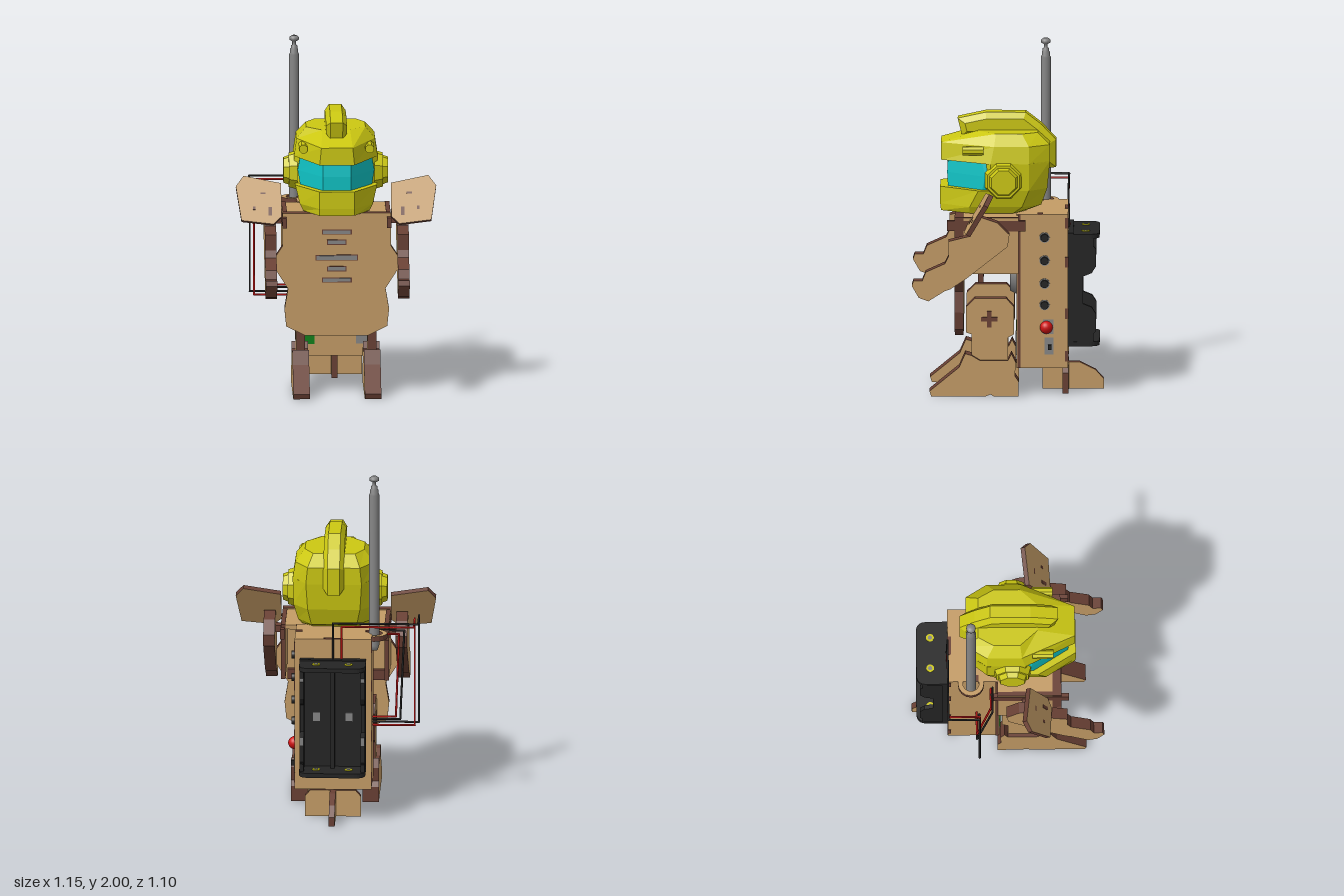
import * as THREE from 'three';

const mat = (name, color) => Object.assign(new THREE.MeshStandardMaterial({ color }), { name });
const wood = mat('wood', 0xc49c66), edge = mat('burntEdge', 0x694034), yellow = mat('helmetYellow', 0xccc812);
const cyan = mat('visorCyan', 0x10c6c8), black = mat('black', 0x242424), grey = mat('grey', 0x868686);
const red = mat('red', 0xd01212), green = mat('boardGreen', 0x0c8018);
for (const m of [yellow, cyan]) m.flatShading = true;

export function createModel() {
  const root = new THREE.Group();
  root.name = 'robot';

  const add = (name, geo, m, x = 0, y = 0, z = 0) => {
    const mesh = new THREE.Mesh(geo, m);
    mesh.name = name;
    mesh.position.set(x, y, z);
    root.add(mesh);
    return mesh;
  };
  // box given by its limits
  const box = (name, m, x0, x1, y0, y1, z0, z1) =>
    add(name, new THREE.BoxGeometry(x1 - x0, y1 - y0, z1 - z0), m, (x0 + x1) / 2, (y0 + y1) / 2, (z0 + z1) / 2);
  // cut sheet centred on its thickness; axis is the direction of the thickness
  const sheet = (pts, depth, axis = 'z', opts = {}) => {
    const shape = pts instanceof THREE.Shape ? pts : new THREE.Shape(pts.map(p => new THREE.Vector2(...p)));
    const g = new THREE.ExtrudeGeometry(shape, { depth, bevelEnabled: false, curveSegments: 8, ...opts });
    g.translate(0, 0, -depth / 2);
    if (axis === 'x') g.rotateY(-Math.PI / 2);
    if (axis === 'y') g.rotateX(Math.PI / 2);
    return g;
  };
  const cut = [wood, edge];
  const cyl = (axis, r0, r1, h, n = 20) => {
    const g = new THREE.CylinderGeometry(r1, r0, h, n);
    if (n === 8) g.rotateY(Math.PI / 8);
    if (axis === 'x') g.rotateZ(-Math.PI / 2);
    if (axis === 'z') g.rotateX(Math.PI / 2);
    return g;
  };
  // stack of eight-sided rings: [y, frontHalfWidth, frontZ, halfWidth, z1, z2, backHalfWidth, backZ]
  const loft = rings => {
    const pos = [], idx = [], n = 8, last = (rings.length - 1) * n;
    for (const [y, a, zf, w, z1, z2, b, zb] of rings)
      for (const [x, z] of [[a, zf], [w, z1], [w, z2], [b, zb], [-b, zb], [-w, z2], [-w, z1], [-a, zf]]) pos.push(x, y, z);
    for (let r = 0; r < last; r += n)
      for (let i = 0; i < n; i++) {
        const j = (i + 1) % n;
        idx.push(r + i, r + j, r + n + j, r + i, r + n + j, r + n + i);
      }
    for (let i = 1; i < n - 1; i++) idx.push(0, i + 1, i, last, last + i, last + i + 1);
    const g = new THREE.BufferGeometry();
    g.setAttribute('position', new THREE.Float32BufferAttribute(pos, 3));
    g.setIndex(idx);
    g.computeVertexNormals();
    return g;
  };

  // helmet
  add('helmetJaw', loft([
    [1.06, 0.1, 0.385, 0.19, 0.22, -0.03, 0.12, -0.09],
    [1.10, 0.1, 0.39, 0.21, 0.22, -0.08, 0.13, -0.19],
    [1.20, 0.1, 0.39, 0.235, 0.17, -0.12, 0.15, -0.225]]), yellow);
  add('helmetMiddle', loft([
    [1.20, 0.2, 0.13, 0.235, 0.1, -0.12, 0.15, -0.225],
    [1.36, 0.2, 0.13, 0.24, 0.1, -0.12, 0.16, -0.24]]), yellow);
  add('visor', loft([
    [1.19, 0.08, 0.345, 0.205, 0.15, 0.05, 0.1, 0],
    [1.28, 0.08, 0.35, 0.22, 0.13, 0.05, 0.1, 0],
    [1.365, 0.08, 0.345, 0.205, 0.15, 0.05, 0.1, 0]]), cyan);
  add('helmetTop', loft([
    [1.355, 0.1, 0.385, 0.24, 0.1, -0.12, 0.16, -0.24],
    [1.455, 0.09, 0.385, 0.225, 0.08, -0.12, 0.15, -0.24],
    [1.52, 0.08, 0.17, 0.17, 0.07, -0.08, 0.12, -0.17]]), yellow);
  add('crest', sheet([[0.265, 1.48], [0.29, 1.585], [0.13, 1.62], [-0.1, 1.62], [-0.19, 1.55], [-0.275, 1.46],
    [-0.275, 1.3], [-0.2, 1.29], [-0.12, 1.46]], 0.07, 'x',
    { bevelEnabled: true, bevelSegments: 1, bevelThickness: 0.025, bevelSize: 0.035, bevelOffset: -0.035 }), yellow);
  for (const s of [-1, 1]) {
    const flip = s < 0 ? Math.PI : 0;
    add('earBase', cyl('x', 0.115, 0.1, 0.05, 8), yellow, s * 0.245, 1.26, 0.025).rotation.y = flip;
    add('earCap', cyl('x', 0.09, 0.075, 0.04, 8), yellow, s * 0.28, 1.26, 0.025).rotation.y = flip;
    add('helmetLamp', cyl('z', 0.028, 0.026, 0.12, 8), yellow, s * 0.19, 1.425, 0.2);
  }

  // chest
  const half = [[0.31, 1.06], [0.31, 0.87], [0.35, 0.81], [0.35, 0.73], [0.28, 0.62], [0.3, 0.5], [0.29, 0.4], [0.18, 0.345]];
  add('chestPlate', sheet([...half, ...half.map(([x, y]) => [-x, y]).reverse()], 0.05), cut, 0, 0, 0.28);
  for (const [y, w, h] of [[0.95, 0.16, 0.02], [0.89, 0.1, 0.02], [0.8, 0.23, 0.024], [0.735, 0.1, 0.02], [0.67, 0.16, 0.02]]) {
    box('ventRim', edge, -w / 2 - 0.006, w / 2 + 0.006, y - h / 2 - 0.005, y + h / 2 + 0.005, 0.303, 0.307);
    box('vent', grey, -w / 2, w / 2, y - h / 2, y + h / 2, 0.303, 0.309);
  }
  box('topPlate', wood, -0.285, 0.285, 1.03, 1.055, -0.06, 0.26);
  box('hipBar', edge, -0.2, 0.2, 0.42, 0.48, 0.06, 0.15);
  box('crossBar', edge, -0.28, 0.28, 0.67, 0.73, 0.14, 0.17);

  for (const s of [-1, 1]) {
    add('chestSide', sheet([[0.255, 1.058], [-0.06, 1.058], [-0.06, 0.73], [0.255, 0.73]], 0.026, 'x'), cut, s * 0.297, 0, 0);
    box('shoulderStrap', edge, s * 0.3 - 0.012, s * 0.3 + 0.012, 0.98, 1.04, -0.1, 0.35);

    // shoulder wing, leaning back
    const wing = new THREE.Group();
    wing.name = 'shoulderWing';
    wing.position.set(s * 0.43, 1.108, 0.165);
    wing.rotation.x = -0.52;
    root.add(wing);
    const wingPts = [[0.53, 1.235], [0.315, 1.195], [0.315, 1.02], [0.36, 0.98], [0.545, 1], [0.575, 1.18]];
    wing.add(add('wingPlate', sheet(wingPts.map(([x, y]) => [s * (x - 0.43), (y - 1.108) / 0.868]), 0.028), cut));
    for (const [x, y, w, h] of [[-0.05, -0.07, 0.02, 0.05], [-0.01, 0.04, 0.03, 0.01], [0.04, -0.05, 0.015, 0.02]])
      wing.add(add('wingMark', new THREE.BoxGeometry(w, h, 0.004), edge, s * x, y, 0.014));

    // arm with elbow and fist
    box('shoulderPeg', edge, s * 0.33 - 0.03, s * 0.33 + 0.03, 0.97, 1.01, 0.08, 0.14);
    add('arm', sheet([[0.15, 1.08], [0.06, 1.05], [-0.01, 0.98], [0, 0.91], [0.24, 0.72], [0.33, 0.66], [0.36, 0.65], [0.455, 0.59],
      [0.51, 0.61], [0.55, 0.68], [0.54, 0.71], [0.49, 0.71], [0.47, 0.76], [0.36, 0.81], [0.34, 0.85], [0.34, 0.94], [0.22, 0.97]],
      0.066, 'x'), cut, s * 0.38, 0, 0);

    // leg and foot
    add('upperLeg', sheet([[0.19, 0.57], [0.01, 0.57], [-0.035, 0.52], [-0.035, 0.36], [0, 0.34], [0, 0.2], [0.21, 0.2],
      [0.21, 0.36], [0.24, 0.37], [0.24, 0.52]], 0.05, 'x'), cut, s * 0.205, 0, 0);
    box('legMark', edge, s * 0.231 - 0.002, s * 0.231 + 0.002, 0.435, 0.46, 0.06, 0.155);
    box('legMark', edge, s * 0.231 - 0.003, s * 0.231 + 0.003, 0.4, 0.495, 0.095, 0.12);
    add('foot', sheet([[0.44, 0], [0.45, 0.03], [0.28, 0.17], [0.245, 0.25], [0.21, 0.24], [0.16, 0.21], [0, 0.21], [-0.02, 0.25], [-0.045, 0.2],
      [-0.04, 0.12], [-0.06, 0.09], [-0.06, 0], [0.08, 0], [0.1, 0.012], [0.13, 0]], 0.095, 'x'), cut, s * 0.205, 0, 0);
  }

  // backpack
  box('backpack', wood, -0.22, 0.22, 0.16, 1.06, -0.345, -0.05);
  for (const s of [-1, 1]) {
    box('backpackSeam', edge, s * 0.221 - 0.002, s * 0.221 + 0.002, 0.16, 1.06, -0.072, -0.055);
    for (const y of [0.2, 0.45, 0.75, 0.98])
      box('backpackTab', edge, s * 0.221 - 0.002, s * 0.221 + 0.002, y, y + 0.06, -0.346, -0.328);
    box('topTab', edge, s * 0.2 - 0.02, s * 0.2 + 0.02, 1.058, 1.063, -0.2, -0.17);
  }
  box('topTab', edge, -0.055, 0.055, 1.058, 1.063, -0.346, -0.325);
  box('circuitBoard', green, -0.195, -0.12, 0.23, 0.36, -0.05, -0.042);
  box('frontPlug', grey, 0.12, 0.19, 0.23, 0.36, -0.05, -0.042);
  add('speaker', cyl('z', 0.13, 0.11, 0.04), grey, 0, 0.68, -0.03);
  for (const y of [0.925, 0.79, 0.655, 0.53]) {
    add('buttonRing', cyl('x', 0.03, 0.03, 0.008), grey, 0.222, y, -0.21);
    add('button', cyl('x', 0.025, 0.022, 0.025), black, 0.23, y, -0.21);
  }
  box('switchPlate', grey, 0.219, 0.226, 0.24, 0.34, -0.26, -0.21);
  box('switchLever', black, 0.22, 0.245, 0.27, 0.3, -0.25, -0.23);
  box('redButtonPlate', grey, 0.219, 0.225, 0.36, 0.445, -0.26, -0.2);
  add('redButton', new THREE.SphereGeometry(0.037, 20, 14), red, 0.225, 0.4, -0.22);

  // rear stand: two crossing plates
  add('rearStand', sheet([[-0.21, 0.155], [-0.195, 0.13], [-0.195, 0], [-0.55, 0], [-0.55, 0.055], [-0.5, 0.11], [-0.41, 0.155]], 0.034, 'x'), cut);
  add('standCross', sheet([[-0.16, 0], [-0.16, 0.12], [-0.13, 0.155], [0.13, 0.155], [0.16, 0.12], [0.16, 0]], 0.034), cut, 0, 0, -0.33);

  // antenna with its ring
  const ring = new THREE.Shape().absarc(0, 0, 0.075, 0, Math.PI * 2);
  ring.holes.push(new THREE.Path().absarc(0, 0, 0.047, 0, Math.PI * 2, true));
  add('antennaRing', sheet(ring, 0.03, 'y'), cut, -0.232, 1.045, -0.213);
  const profile = [[0, 0.96], [0.02, 0.96], [0.029, 0.99], [0.029, 1.89], [0.023, 1.9], [0.023, 1.92], [0.018, 1.925], [0.018, 1.94],
    [0.011, 1.945], [0.011, 1.965], [0.027, 1.975], [0.027, 1.99], [0.015, 2], [0, 2]];
  add('antenna', new THREE.LatheGeometry(profile.map(p => new THREE.Vector2(...p)), 20), grey, -0.232, 0, -0.213);

  // battery holder
  box('holderBase', black, -0.19, 0.19, 0.28, 0.945, -0.375, -0.345);
  const end = new THREE.Shape();
  end.moveTo(-0.19, -0.345).lineTo(0.19, -0.345).lineTo(0.19, -0.465);
  end.quadraticCurveTo(0.19, -0.525, 0.13, -0.525).lineTo(-0.13, -0.525).quadraticCurveTo(-0.19, -0.525, -0.19, -0.465);
  const sidePts = [[-0.35, 0.28], [-0.35, 0.945], [-0.36, 0.89], [-0.47, 0.89], [-0.505, 0.85], [-0.505, 0.75], [-0.48, 0.71], [-0.43, 0.69],
    [-0.43, 0.53], [-0.48, 0.51], [-0.505, 0.47], [-0.505, 0.37], [-0.47, 0.33], [-0.36, 0.33]];
  for (const y of [0.295, 0.925]) {
    add('holderEnd', sheet(end, 0.026, 'y'), black, 0, y, 0);
    const out = y > 0.6 ? 1 : -1;
    for (const x of [-0.093, 0.093])
      for (const side of [-1, 1]) {
        add('contact', cyl('y', 0.023, 0.023, 0.006), yellow, x, y + side * out * 0.014, -0.445);
        add('contactPin', cyl('y', 0.012, 0.012, 0.008), grey, x, y + side * out * 0.015, -0.445);
      }
  }
  for (const x of [-0.175, 0.175]) {
    add('holderSide', sheet(sidePts, 0.024, 'x'), black, x, 0, 0);
    for (const y of [0.38, 0.84]) box('holderBlock', black, x - 0.012, x + 0.012, y - 0.09, y + 0.09, -0.49, -0.36);
  }
  box('holderDivider', black, -0.012, 0.012, 0.29, 0.93, -0.42, -0.36);
  for (const x of [-0.093, 0.093]) box('holderMark', grey, x - 0.02, x + 0.02, 0.58, 0.63, -0.379, -0.374);

  // wires run along straight segments
  const wire = (m, pts) => {
    const v = pts.map(p => new THREE.Vector3(...p));
    for (let i = 1; i < v.length; i++)
      add('wire', new THREE.TubeGeometry(new THREE.LineCurve3(v[i - 1], v[i]), 1, 0.006, 6), m);
    for (const p of v) add('wireBend', new THREE.SphereGeometry(0.006, 6, 4), m, p.x, p.y, p.z);
  };
  wire(black, [[0, 0.94, -0.35], [0, 1.155, -0.345], [-0.488, 1.155, -0.345], [-0.488, 1.155, -0.165], [-0.488, 0.515, -0.165], [-0.22, 0.515, -0.165]]);
  wire(red, [[-0.05, 0.94, -0.35], [-0.05, 1.135, -0.345], [-0.463, 1.135, -0.345], [-0.463, 1.135, -0.165], [-0.463, 0.495, -0.165], [-0.22, 0.495, -0.165]]);
  wire(black, [[-0.25, 1.04, -0.09], [-0.4, 1.04, -0.09], [-0.38, 0.535, -0.18], [-0.22, 0.535, -0.18]]);
  wire(red, [[-0.25, 1.02, -0.1], [-0.37, 1.02, -0.1], [-0.355, 0.55, -0.18], [-0.22, 0.55, -0.18]]);

  return root;
}
